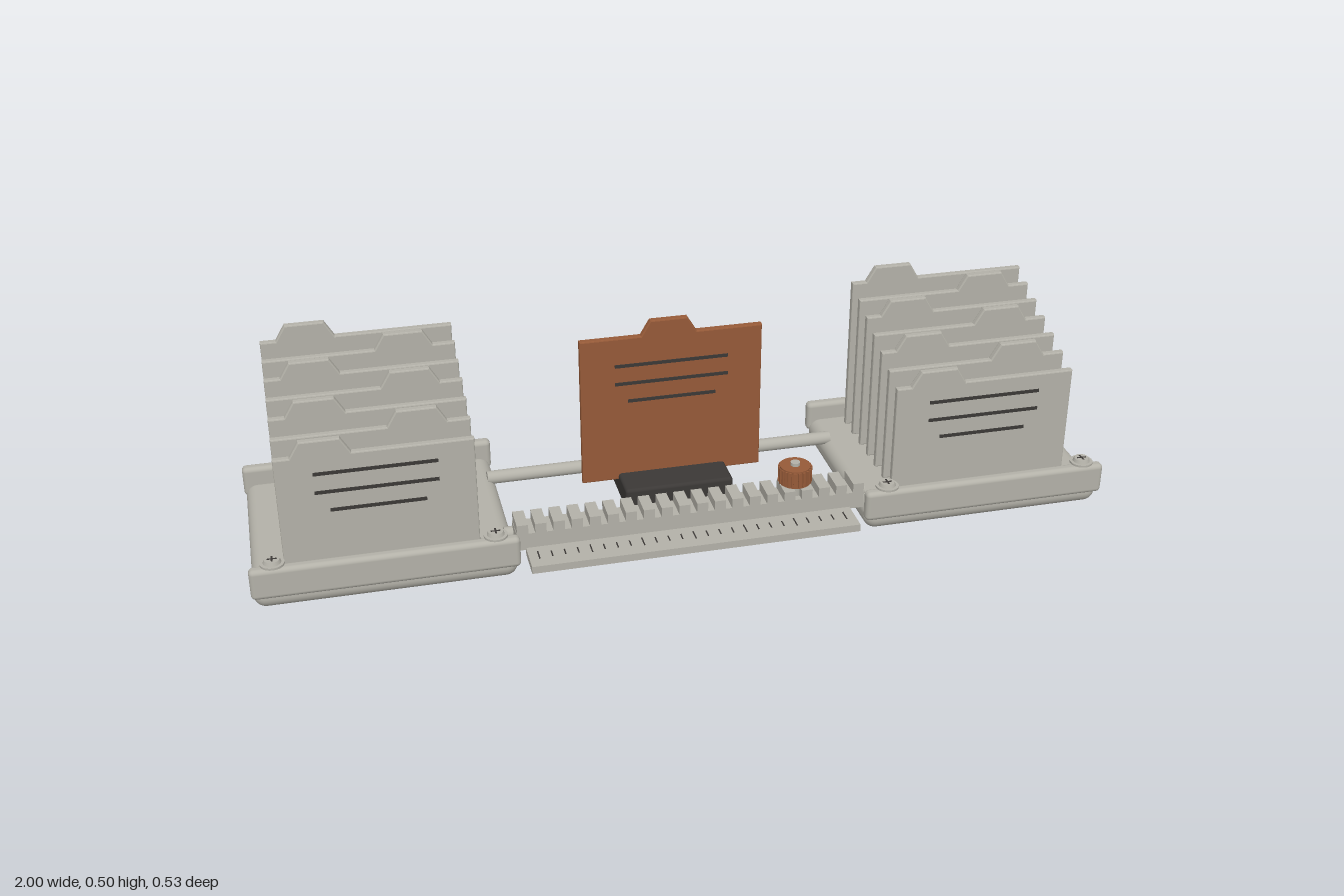
import * as THREE from 'three';
import { RoundedBoxGeometry } from 'three/addons/geometries/RoundedBoxGeometry.js';

const mat = (name, color) => {
  const m = new THREE.MeshStandardMaterial({ color });
  m.name = name;
  return m;
};

export function createModel() {
  const root = new THREE.Group();
  root.name = 'cardFileSlider';
  const grey = mat('warmGrey', 0xb3b1a8);
  const brown = mat('copperBrown', 0x965a38);
  const dark = mat('charcoal', 0x3b3836);

  const add = (parent, name, geo, material, x = 0, y = 0, z = 0) => {
    const m = new THREE.Mesh(geo, material);
    m.name = name;
    m.position.set(x, y, z);
    parent.add(m);
    return m;
  };
  const box = (w, h, d) => new THREE.BoxGeometry(w, h, d);
  const rbox = (w, h, d, r) => new RoundedBoxGeometry(w, h, d, 4, r);
  const cyl = (r, h, n = 24, rb = r) => new THREE.CylinderGeometry(r, rb, h, n);

  // Index card: a bevelled plate with one sloped tab on its top edge
  const cardGeo = (bodyH, tabX) => {
    const w = 0.2165, t = 0.037, bevel = 0.003, thick = 0.017;
    const s = new THREE.Shape();
    s.moveTo(-w, 0);
    s.lineTo(w, 0);
    s.lineTo(w, bodyH);
    s.lineTo(tabX + 0.066, bodyH);
    s.lineTo(tabX + 0.044, bodyH + t);
    s.lineTo(tabX - 0.044, bodyH + t);
    s.lineTo(tabX - 0.066, bodyH);
    s.lineTo(-w, bodyH);
    s.closePath();
    const g = new THREE.ExtrudeGeometry(s, {
      depth: thick - 2 * bevel, bevelEnabled: true, bevelThickness: bevel,
      bevelSize: bevel, bevelOffset: -bevel, bevelSegments: 2,
    });
    g.translate(0, 0, -thick / 2 + bevel);
    return g;
  };

  // Three written lines on the front of a card
  const addLines = (card, top, step) => {
    [0.27, 0.27, 0.21].forEach((w, i) =>
      add(card, 'cardLine', box(w, 0.008, 0.003), dark, 0, top - i * step, 0.009));
  };

  // Trays with lips, screws and seven stepped cards each
  for (const side of [-1, 1]) {
    const tray = new THREE.Group();
    tray.name = side < 0 ? 'rightTray' : 'leftTray';
    tray.position.x = side * 0.703;
    root.add(tray);

    add(tray, 'trayBase', rbox(0.585, 0.063, 0.476, 0.028), grey, 0, 0.0315, -0.0225);
    for (const z of [0.209, -0.251])
      add(tray, 'trayLip', rbox(0.594, 0.075, 0.029, 0.011), grey, 0, 0.07, z);

    for (const x of [-0.244, 0.244]) {
      const screw = new THREE.Group();
      screw.name = 'screw';
      screw.position.set(x, 0.107, 0.207);
      tray.add(screw);
      add(screw, 'screwShank', cyl(0.01, 0.012, 16), grey, 0, 0.002);
      add(screw, 'screwWasher', cyl(0.027, 0.005), grey, 0, 0.0085);
      add(screw, 'screwHead', cyl(0.017, 0.008, 24, 0.02), grey, 0, 0.015);
      for (const [w, d] of [[0.022, 0.004], [0.004, 0.022]])
        add(screw, 'screwSlot', box(w, 0.001, d), dark, 0, 0.0192);
    }

    for (let i = 0; i < 7; i++) {
      const card = add(tray, 'greyCard', cardGeo(0.265 + i * 0.02, i % 2 ? 0.1 : -0.115),
        grey, -0.003, 0.08, 0.163 - i * 0.056);
      if (i === 0) addLines(card, 0.222, 0.046);
    }
  }

  // Guide rods joining the trays
  for (const z of [0.124, -0.138]) {
    const rod = add(root, 'guideRod', cyl(0.016, 0.86), grey, 0, 0.064, z);
    rod.rotation.z = Math.PI / 2;
  }

  // Toothed rack
  add(root, 'rackBar', box(0.82, 0.042, 0.065), grey, 0, 0.074, 0.154);
  for (let i = 0; i < 20; i++)
    add(root, 'rackTooth', box(0.026, 0.026, 0.065), grey, -0.396 + i * 0.0417, 0.105, 0.154);

  // Scale plate with tick marks
  add(root, 'scalePlate', box(0.766, 0.018, 0.082), grey, -0.007, 0.049, 0.227);
  for (let i = 0; i < 25; i++) {
    const len = i % 4 === 0 ? 0.032 : 0.022;
    add(root, 'scaleTick', box(0.003, 0.001, len), dark, -0.367 + i * 0.03, 0.0583, 0.222);
  }

  // Sliding carriage and its highlighted card
  add(root, 'carriage', rbox(0.26, 0.058, 0.186, 0.008), dark, 0, 0.067, -0.038);
  const brownCard = add(root, 'brownCard', cardGeo(0.37, -0.006), brown, 0, 0.08, -0.037);
  addLines(brownCard, 0.3, 0.046);

  // Knurled knob riding on the rack
  const knob = new THREE.Group();
  knob.name = 'knob';
  knob.position.set(0.25, 0, 0.154);
  root.add(knob);
  add(knob, 'knobStem', cyl(0.016, 0.045), grey, 0, 0.11);
  add(knob, 'knobBody', cyl(0.036, 0.044, 32), brown, 0, 0.148);
  add(knob, 'knobCap', cyl(0.011, 0.009), grey, 0, 0.1735);
  for (let i = 0; i < 22; i++) {
    const a = (i / 22) * Math.PI * 2;
    const rib = add(knob, 'knobRib', box(0.006, 0.038, 0.007), brown,
      Math.sin(a) * 0.036, 0.148, Math.cos(a) * 0.036);
    rib.rotation.y = a;
  }

  return root;
}
